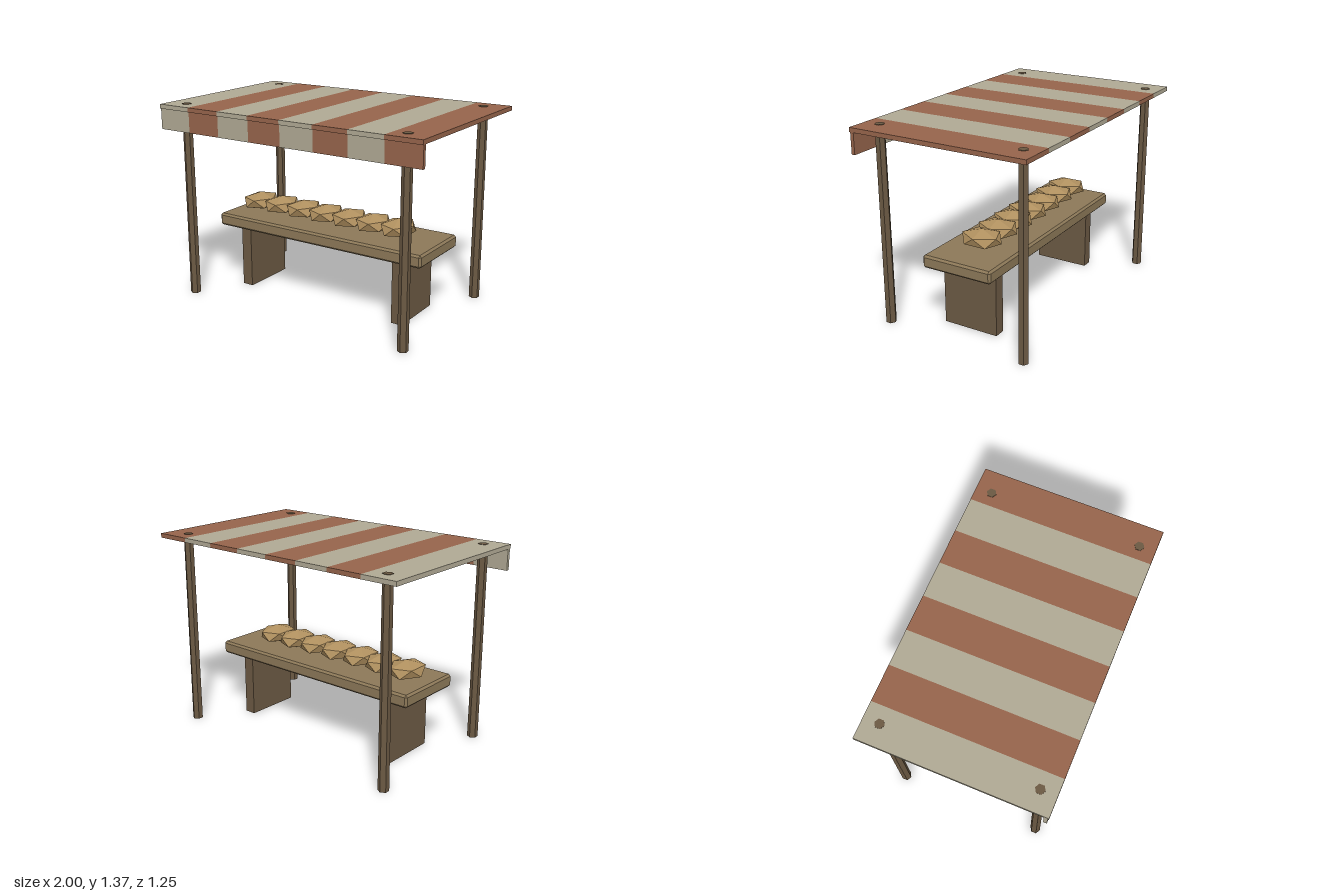
import * as THREE from 'three';
import { ConvexGeometry } from 'three/addons/geometries/ConvexGeometry.js';

const mat = (color) => new THREE.MeshStandardMaterial({ color, flatShading: true });
const darkWood = mat(0x6b5943);
const plankWood = mat(0x8c7858);
const goodsColor = mat(0xb0905f);
const cream = mat(0xb0a994);
const rust = mat(0x96644b);

function add(parent, name, geometry, material, x, y, z) {
  const mesh = new THREE.Mesh(geometry, material);
  mesh.name = name;
  mesh.position.set(x, y, z);
  parent.add(mesh);
  return mesh;
}

// Box with all edges chamfered: three corner points per box corner
function chamferedBox(w, h, d, c) {
  const points = [];
  for (const sx of [-1, 1]) for (const sy of [-1, 1]) for (const sz of [-1, 1]) {
    for (let axis = 0; axis < 3; axis++) {
      const inset = [c, c, c];
      inset[axis] = 0;
      points.push(new THREE.Vector3(
        sx * (w / 2 - inset[0]), sy * (h / 2 - inset[1]), sz * (d / 2 - inset[2])));
    }
  }
  return new ConvexGeometry(points);
}

export function createModel() {
  const stall = new THREE.Group();
  stall.name = 'marketStall';

  // Striped canopy with a hanging valance along the front
  const canopy = new THREE.Group();
  canopy.name = 'canopy';
  stall.add(canopy);
  const roofStripe = new THREE.BoxGeometry(0.25, 0.03, 1.248);
  const valanceStripe = new THREE.BoxGeometry(0.25, 0.143, 0.024);
  for (let i = 0; i < 8; i++) {
    const x = -0.875 + i * 0.25;
    const material = i % 2 ? rust : cream;
    add(canopy, 'roofStripe', roofStripe, material, x, 1.349, 0);
    add(canopy, 'valanceStripe', valanceStripe, material, x, 1.2635, 0.604);
  }

  // Four slightly tapered six-sided posts, just piercing the roof
  const post = new THREE.CylinderGeometry(0.033, 0.036, 1.367, 6);
  for (const x of [-0.86, 0.844])
    for (const z of [-0.514, 0.514]) add(stall, 'post', post, darkWood, x, 0.6835, z);

  // Counter on two slab legs
  add(stall, 'counterTop', chamferedBox(1.643, 0.088, 0.512, 0.014), plankWood, -0.008, 0.486, 0);
  const leg = new THREE.BoxGeometry(0.08, 0.445, 0.4);
  for (const x of [-0.634, 0.618]) add(stall, 'counterLeg', leg, darkWood, x, 0.2225, 0);

  // Row of squashed faceted goods, standing on a point
  const goods = new THREE.IcosahedronGeometry(1, 0);
  goods.rotateZ(-Math.atan(2 / (1 + Math.sqrt(5))));
  goods.scale(0.125, 0.065, 0.153);
  for (let i = 0; i < 7; i++) add(stall, 'goods', goods, goodsColor, -0.65 + i * 0.193, 0.594, 0);

  return stall;
}
